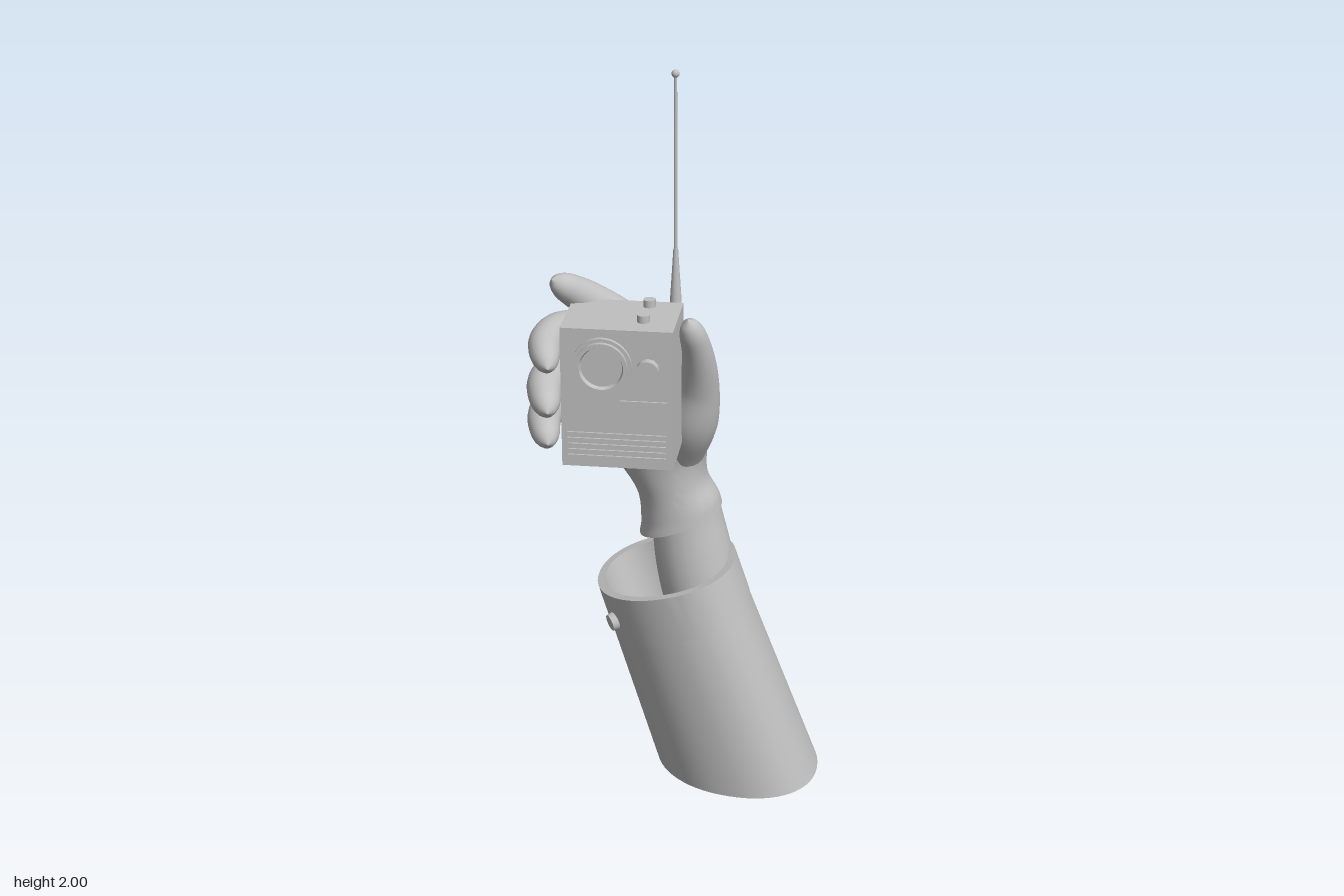
import * as THREE from 'three';
import { toCreasedNormals } from 'three/addons/utils/BufferGeometryUtils.js';

const V = (x, y, z) => new THREE.Vector3(x, y, z);
const spline = pts => new THREE.CatmullRomCurve3(pts, false, 'catmullrom', 0.5);

// Skin a list of closed rings, each an array of Vector3
function loft(rings) {
  const n = rings[0].length, pos = [], idx = [];
  rings.forEach(r => r.forEach(p => pos.push(p.x, p.y, p.z)));
  for (let i = 0; i < rings.length - 1; i++) {
    for (let j = 0; j < n; j++) {
      const a = i * n + j, d = i * n + (j + 1) % n;
      idx.push(a, a + n, d + n, a, d + n, d);
    }
  }
  const g = new THREE.BufferGeometry();
  g.setAttribute('position', new THREE.Float32BufferAttribute(pos, 3));
  g.setIndex(idx);
  g.computeVertexNormals();
  return g;
}

// Oval ring that spans left point L to right point R, with half depth in z
function oval(L, R, depth, power, n = 48) {
  const bend = v => Math.sign(v) * Math.abs(v) ** (2 / power);
  return Array.from({ length: n }, (_, j) => {
    const a = j / n * Math.PI * 2;
    const p = L.clone().lerp(R, 0.5 + bend(Math.cos(a)) / 2);
    p.z += depth * bend(Math.sin(a));
    return p;
  });
}

// Round limb along a smooth path, with a rounded tip
function limb(path, radii, round = 0.13, steps = 36, n = 20) {
  const curve = spline(path.map(p => V(...p)));
  const rad = spline(radii.map(r => V(r, 0, 0)));
  const f = curve.computeFrenetFrames(steps, false);
  const rings = [];
  for (let i = 0; i <= steps; i++) {
    const t = i / steps, k = Math.max(0, (t - 1 + round) / round);
    const r = rad.getPoint(t).x * Math.sqrt(Math.max(0.0005, 1 - k * k));
    const c = curve.getPointAt(t);
    rings.push(Array.from({ length: n }, (_, j) => {
      const a = j / n * Math.PI * 2;
      return c.clone().addScaledVector(f.normals[i], r * Math.cos(a))
        .addScaledVector(f.binormals[i], -r * Math.sin(a));
    }));
  }
  return loft(rings);
}

export function createModel() {
  const grey = new THREE.MeshStandardMaterial({ color: 0xc0c0c0 });
  grey.name = 'plainGrey';
  const model = new THREE.Group();
  model.name = 'handHoldingRadio';

  function add(parent, name, geo, x = 0, y = 0, z = 0) {
    const m = new THREE.Mesh(geo, grey);
    m.name = name;
    m.position.set(x, y, z);
    parent.add(m);
    return m;
  }
  function group(name) {
    const g = new THREE.Group();
    g.name = name;
    model.add(g);
    return g;
  }

  // Sleeve: slanted hollow tube, its oval turned towards the front on the left side
  const sleeve = group('sleeve');
  const sleeveRing = (L, R, d, inset) => {
    const dir = R.clone().sub(L).normalize();
    return oval(L.clone().addScaledVector(dir, inset), R.clone().addScaledVector(dir, -inset), d - inset, 2.15, 64);
  };
  const hem = i => sleeveRing(V(-0.08, 0, -0.115), V(0.377, 0, -0.043), 0.222, i);
  const seam = i => sleeveRing(V(-0.21, 0.39, -0.143), V(0.184, 0.535, -0.007), 0.212, i);
  const rim = i => sleeveRing(V(-0.25, 0.51, -0.15), V(0.145, 0.66, 0), 0.204, i);
  add(sleeve, 'sleeveTube', toCreasedNormals(
    loft([hem(0), seam(0.002), seam(0), rim(0), rim(0.024), hem(0.024), hem(0)]), 0.7));

  // Cuff button on the sleeve
  const button = add(sleeve, 'cuffButton',
    new THREE.CylinderGeometry(0.023, 0.027, 0.024, 24), -0.184, 0.45, 0.012);
  button.quaternion.setFromUnitVectors(V(0, 1, 0), V(-0.82, -0.22, 0.53).normalize());

  // Forearm inside the sleeve
  add(model, 'forearm', limb(
    [[0.0, 0.8, -0.07], [0.012, 0.7, -0.075], [0.04, 0.55, -0.075], [0.09, 0.36, -0.075]],
    [0.09, 0.104, 0.108, 0.108], 0.03));

  // Gloved palm: left edge, right edge and half depth at each section
  const hand = group('glovedHand');
  const sections = [
    [[-0.122, 0.695, -0.075], [0.1, 0.78, -0.075], 0.112],
    [[-0.117, 0.74, -0.07], [0.09, 0.815, -0.07], 0.106],
    [[-0.128, 0.83, -0.065], [0.062, 0.87, -0.065], 0.103],
    [[-0.19, 0.93, -0.05], [0.062, 0.945, -0.052], 0.103],
    [[-0.29, 1.03, -0.025], [0.083, 1.03, -0.02], 0.108],
    [[-0.3, 1.13, -0.025], [0.1, 1.12, 0.0], 0.105],
    [[-0.265, 1.25, -0.025], [0.085, 1.19, 0.02], 0.088],
    [[-0.22, 1.34, 0.0], [0.035, 1.245, 0.02], 0.06],
    [[-0.2, 1.38, 0.025], [-0.02, 1.285, 0.025], 0.035],
  ];
  const left = spline(sections.map(s => V(...s[0])));
  const right = spline(sections.map(s => V(...s[1])));
  const depth = spline(sections.map(s => V(s[2], 0, 0)));
  const palm = [];
  for (let i = 0; i <= 40; i++) {
    const t = i / 40;
    palm.push(oval(left.getPoint(t), right.getPoint(t), depth.getPoint(t).x, 2.1));
  }
  const shrink = (ring, k) => {
    const c = ring.reduce((s, p) => s.add(p), V(0, 0, 0)).divideScalar(ring.length);
    return ring.map(p => p.clone().lerp(c, k));
  };
  const rings = [shrink(palm[0], 0.14), ...palm, shrink(palm[40], 0.6), shrink(palm[40], 0.999)];
  add(hand, 'palm', toCreasedNormals(loft(rings), 1.0));

  // Fingers wrapping the radio, and the thumb on its other side
  const fingers = {
    indexFinger: [[[-0.05, 1.2, -0.025], [-0.14, 1.3, -0.005], [-0.23, 1.385, 0.03], [-0.318, 1.465, 0.1]],
      [0.055, 0.06, 0.049, 0.03]],
    middleFinger: [[[-0.09, 1.2, -0.035], [-0.21, 1.27, -0.015], [-0.295, 1.315, 0.055], [-0.324, 1.32, 0.17], [-0.298, 1.297, 0.292]],
      [0.05, 0.055, 0.048, 0.044, 0.03]],
    ringFinger: [[[-0.12, 1.12, -0.035], [-0.24, 1.17, -0.01], [-0.31, 1.205, 0.06], [-0.328, 1.205, 0.17], [-0.3, 1.18, 0.298]],
      [0.05, 0.056, 0.05, 0.046, 0.031]],
    littleFinger: [[[-0.14, 1.04, -0.03], [-0.25, 1.075, 0.0], [-0.32, 1.11, 0.07], [-0.334, 1.11, 0.16], [-0.305, 1.085, 0.275]],
      [0.05, 0.052, 0.047, 0.043, 0.03]],
    thumb: [[[0.0, 0.96, -0.02], [0.03, 1.07, 0.03], [0.054, 1.18, 0.068], [0.056, 1.29, 0.118], [0.038, 1.4, 0.172]],
      [0.06, 0.07, 0.053, 0.04, 0.03]],
  };
  for (const [name, [path, radii]] of Object.entries(fingers)) add(hand, name, limb(path, radii));

  // Radio body
  const radio = group('radio');
  add(radio, 'radioCase', new THREE.BoxGeometry(0.283, 0.372, 0.211), -0.129, 1.215, 0.1615);

  // Round dial: stepped rim around a sunken disc
  const dial = new THREE.LatheGeometry(
    [[0.075, 0], [0.075, 0.011], [0.066, 0.011], [0.066, 0.022], [0.056, 0.022], [0.052, 0.01], [0, 0.01]]
      .map(p => new THREE.Vector2(...p)), 40);
  dial.rotateX(Math.PI / 2);
  add(radio, 'dial', toCreasedNormals(dial, 0.4), -0.165, 1.305, 0.267);

  // Small knob, screen and grille slats
  const knob = new THREE.CylinderGeometry(0.029, 0.029, 0.024, 12).rotateX(Math.PI / 2);
  add(radio, 'knob', knob, -0.05, 1.3, 0.277);
  add(radio, 'screen', new THREE.BoxGeometry(0.12, 0.078, 0.008), -0.062, 1.175, 0.268);
  for (let i = 0; i < 5; i++) {
    add(radio, 'grilleSlat', new THREE.BoxGeometry(0.25, 0.009, 0.008), -0.13, 1.057 + i * 0.0155, 0.268);
  }

  // Top buttons
  for (const z of [0.09, 0.2]) {
    add(radio, 'topButton', new THREE.CylinderGeometry(0.016, 0.016, 0.03, 20), -0.07, 1.405, z);
  }

  // Aerial: tapered sleeve, thin rod and ball tip
  const aerial = group('aerial');
  add(aerial, 'aerialBase', new THREE.CylinderGeometry(0.015, 0.016, 0.18, 16), -0.01, 1.31, 0.037);
  add(aerial, 'aerialTaper', new THREE.CylinderGeometry(0.006, 0.015, 0.14, 16), -0.01, 1.47, 0.037);
  add(aerial, 'aerialRod', new THREE.CylinderGeometry(0.004, 0.005, 0.46, 10), -0.01, 1.765, 0.037);
  add(aerial, 'aerialTip', new THREE.SphereGeometry(0.01, 16, 12), -0.01, 1.99, 0.037);

  return model;
}
